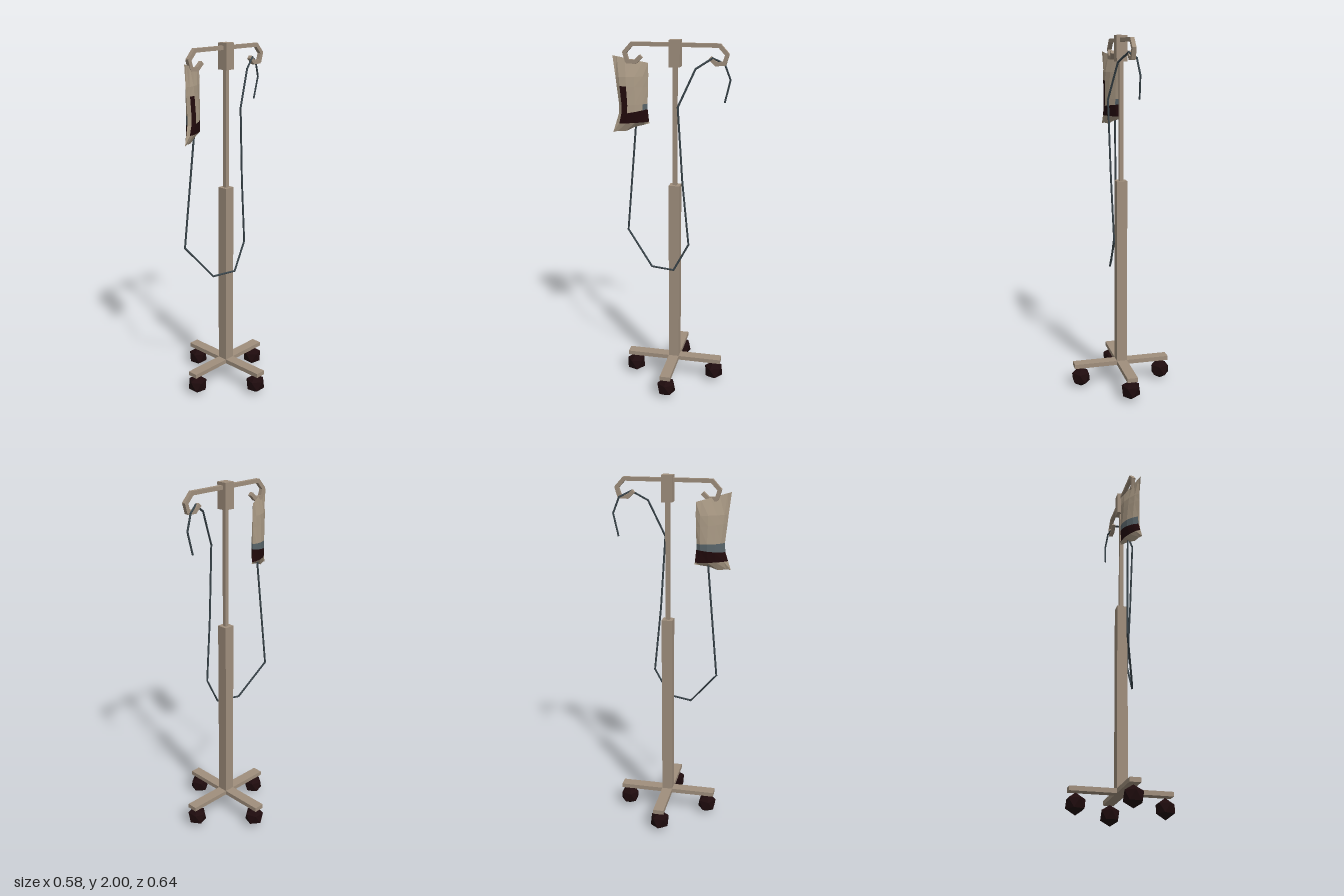
import * as THREE from 'three';

const mat = (name, color, extra = {}) => {
  const m = new THREE.MeshStandardMaterial({ color, flatShading: true, ...extra });
  m.name = name;
  return m;
};

export function createModel() {
  const stand = new THREE.Group();
  stand.name = 'dripStand';
  const metal = mat('beigeMetal', 0xa08f7d);
  const rubber = mat('darkRubber', 0x1e0b0d);
  const tubing = mat('slateTubing', 0x39444a);
  const plastic = mat('bagPlastic', 0xa99984, { side: THREE.DoubleSide });
  const fluid = mat('darkFluid', 0x220a0c, { side: THREE.DoubleSide });
  const edge = mat('fluidEdge', 0x59656a, { side: THREE.DoubleSide });
  const Z = -0.02; // depth of the pole axis

  const add = (name, geo, material, x = 0, y = 0, z = 0, parent = stand) => {
    const m = new THREE.Mesh(geo, material);
    m.name = name;
    m.position.set(x, y, z);
    parent.add(m);
    return m;
  };
  const box = (name, w, y0, y1, d) =>
    add(name, new THREE.BoxGeometry(w, y1 - y0, d), metal, 0, (y0 + y1) / 2, Z);

  // Pole and crossed base
  box('lowerPole', 0.06, 0.12, 1.21, 0.06);
  box('upperPole', 0.023, 1.2, 1.87, 0.023);
  box('poleCap', 0.06, 1.86, 2.0, 0.06);
  box('baseBarAcross', 0.56, 0.12, 0.145, 0.06);
  box('baseBarAlong', 0.06, 0.12, 0.1445, 0.56);

  // Faceted wheels, one vertex pointing straight up
  const wheelGeo = new THREE.IcosahedronGeometry(0.0585, 0);
  wheelGeo.rotateX(-(Math.PI / 2 - Math.atan(2 / (1 + Math.sqrt(5)))));
  for (let i = 0; i < 4; i++) {
    const a = (i * Math.PI) / 2;
    const w = add('wheel', wheelGeo, rubber, 0.24 * Math.sin(a), 0.0585, Z + 0.24 * Math.cos(a));
    w.rotation.y = i % 2 ? Math.PI / 2 : 0;
  }

  // Straight pieces joined along a list of points
  const UP = new THREE.Vector3(0, 1, 0);
  const run = (name, points, material, makeGeo, overlap) => {
    const g = new THREE.Group();
    g.name = name;
    stand.add(g);
    for (let i = 0; i < points.length - 1; i++) {
      const a = new THREE.Vector3(...points[i]);
      const b = new THREE.Vector3(...points[i + 1]);
      const mid = a.clone().add(b).multiplyScalar(0.5);
      const m = add(name + 'Piece', makeGeo(a.distanceTo(b) + overlap), material, mid.x, mid.y, mid.z, g);
      m.quaternion.setFromUnitVectors(UP, b.sub(a).normalize());
    }
  };

  // Top arm with a hook at each end
  const hook = [[0, 0], [0.235, 0], [0.276, -0.045], [0.262, -0.092], [0.218, -0.094], [0.188, -0.066]];
  for (const s of [1, -1]) {
    run(s > 0 ? 'frontHook' : 'backHook', hook.map(([d, h]) => [0, 1.974 + h, Z + s * d]), metal,
      (l) => new THREE.BoxGeometry(0.022, l, 0.021), 0.008);
  }

  // Hanging tube
  run('tube', [
    [-0.02, 1.53, 0.205], [-0.04, 0.91, 0.265], [0.025, 0.715, 0.11], [0.065, 0.72, -0.025],
    [0.06, 0.88, -0.11], [0.07, 1.25, -0.075], [0.079, 1.66, -0.05], [0.045, 1.857, -0.137],
    [0.008, 1.91, -0.22], [-0.02, 1.88, -0.28], [-0.03, 1.795, -0.312], [-0.034, 1.675, -0.284],
  ], tubing, (l) => new THREE.CylinderGeometry(0.0055, 0.0055, l, 6), 0.005);

  // Bag rows: height at front edge, at back edge, z of front edge, of back edge, bulge
  const rows = [
    [1.915, 1.87, 0.315, 0.138, 0],
    [1.8, 1.8, 0.302, 0.138, 0.024],
    [1.755, 1.74, 0.298, 0.14, 0.028],
    [1.65, 1.65, 0.287, 0.143, 0.033],
    [1.6, 1.62, 0.29, 0.143, 0.033],
    [1.55, 1.55, 0.305, 0.136, 0.024],
    [1.5, 1.54, 0.32, 0.134, 0],
  ];
  const cols = [0, 0.12, 0.34, 0.6, 0.85, 1];
  const swell = [0, 0.6, 1, 1, 0.6, 0];
  // One letter per cell: p plastic, f fluid, e fluid edge
  const paint = {
    1: ['ppppp', 'ppppp', 'pfppp', 'pfppe', 'pffff', 'ppppp'],
    '-1': ['ppppp', 'ppppp', 'ppppp', 'eeeee', 'fffff', 'ppppp'],
  };
  const bag = new THREE.Group();
  bag.name = 'fluidBag';
  stand.add(bag);
  const corner = (r, c, side) => {
    const [yF, yB, zF, zB, bulge] = rows[r];
    const t = cols[c];
    const z = zF + (zB - zF) * t;
    const sag = r === rows.length - 1 && c === 2 ? -0.012 : 0;
    return [(z - 0.225) * 0.42 - 0.007 + side * bulge * swell[c], yF + (yB - yF) * t + sag, z];
  };
  const skins = { p: ['bagSkin', plastic], f: ['bagFluid', fluid], e: ['bagFluidEdge', edge] };
  for (const side of [1, -1]) {
    for (const key of Object.keys(skins)) {
      const pos = [];
      paint[side].forEach((line, r) => [...line].forEach((k, c) => {
        if (k !== key) return;
        const a = corner(r, c, side), b = corner(r, c + 1, side);
        const d = corner(r + 1, c, side), e = corner(r + 1, c + 1, side);
        const tris = side > 0 ? [a, d, b, b, d, e] : [a, b, d, b, e, d];
        pos.push(...tris.flat());
      }));
      const geo = new THREE.BufferGeometry();
      geo.setAttribute('position', new THREE.Float32BufferAttribute(pos, 3));
      geo.computeVertexNormals();
      add(skins[key][0], geo, skins[key][1], 0, 0, 0, bag);
    }
  }
  return stand;
}
